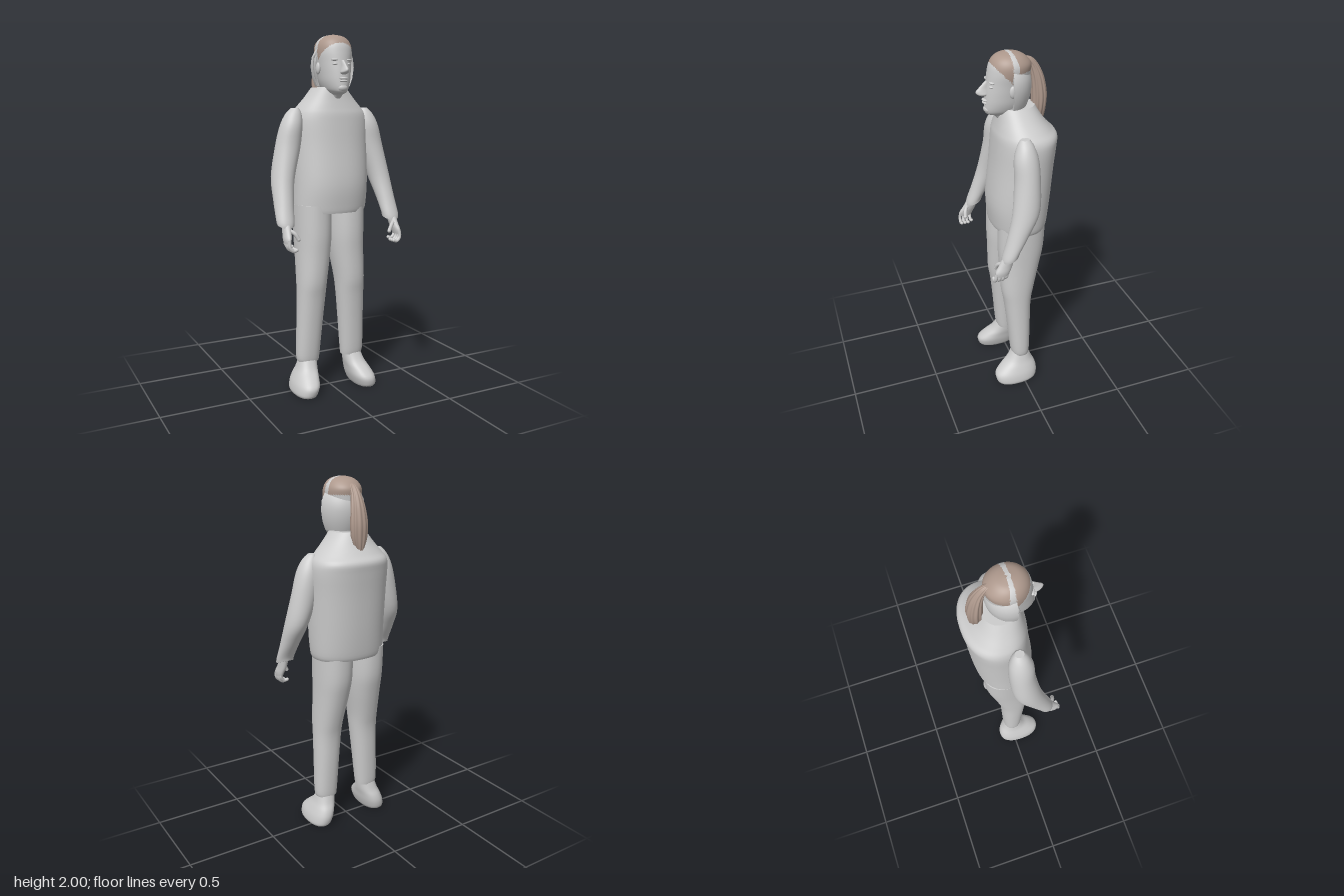
import * as THREE from 'three';

const grey = new THREE.MeshStandardMaterial({ color: 0xcccccc, side: THREE.DoubleSide });
grey.name = 'paleGrey';
const brown = new THREE.MeshStandardMaterial({ color: 0xad988c, side: THREE.DoubleSide });
brown.name = 'hairBrown';

// Smooth interpolation of one number through four neighbours
function spline(a, b, c, d, t) {
  const m0 = (c - a) / 2, m1 = (d - b) / 2, t2 = t * t, t3 = t2 * t;
  return (2 * b - 2 * c + m0 + m1) * t3 + (3 * c - 3 * b - 2 * m0 - m1) * t2 + m0 * t + b;
}

// Skin over oval rings [y, centreX, centreZ, radiusX, radiusZ, tilt], listed upwards.
// side mirrors the centres; paint(x, y, z) returns true where a face is brown.
function loft(name, rings, material, { side = 1, power = 2, ripple = 0, segs = 40, steps = 4, paint } = {}) {
  const pos = [], faces = [[], []], rows = [];
  const at = i => rings[Math.min(rings.length - 1, Math.max(0, i))];
  for (let i = 0; i < rings.length - 1; i++)
    for (let s = 0; s < steps; s++)
      rows.push(at(i).map((v, k) => spline(at(i - 1)[k], v, at(i + 1)[k], at(i + 2)[k], s / steps)));
  rows.push(rings[rings.length - 1]);
  const bend = v => Math.sign(v) * Math.pow(Math.abs(v), 2 / power);
  const addRing = ([y, cx, cz, rx, rz, tilt = 0]) => {
    for (let j = 0; j < segs; j++) {
      const a = j / segs * Math.PI * 2, r = 1 + ripple * Math.cos(a * 10);
      const dz = rz * r * bend(Math.sin(a));
      pos.push(side * cx + rx * r * bend(Math.cos(a)), y + tilt * dz, cz + dz);
    }
  };
  const addFace = (...ids) => {
    const mid = k => ids.reduce((sum, i) => sum + pos[i * 3 + k], 0) / 3;
    faces[paint && paint(mid(0), mid(1), mid(2)) ? 1 : 0].push(...ids);
  };
  rows.forEach(addRing);
  for (let i = 0; i < rows.length - 1; i++)
    for (let j = 0; j < segs; j++) {
      const a = i * segs + j, b = i * segs + (j + 1) % segs;
      addFace(a, a + segs, b);
      addFace(b, a + segs, b + segs);
    }
  // End caps with their own vertices keep the rims sharp
  [rows[0], rows[rows.length - 1]].forEach((row, top) => {
    const start = pos.length / 3;
    addRing(row);
    pos.push(side * row[1], row[0], row[2]);
    for (let j = 0; j < segs; j++) {
      const a = start + j, b = start + (j + 1) % segs;
      if (top) addFace(a, start + segs, b); else addFace(a, b, start + segs);
    }
  });
  const g = new THREE.BufferGeometry();
  g.setAttribute('position', new THREE.Float32BufferAttribute(pos, 3));
  g.setIndex([...faces[0], ...faces[1]]);
  if (paint) {
    g.addGroup(0, faces[0].length, 0);
    g.addGroup(faces[0].length, faces[1].length, 1);
  }
  g.computeVertexNormals();
  const mesh = new THREE.Mesh(g, material);
  mesh.name = name;
  return mesh;
}

function blob(name, x, y, z, rx, ry, rz) {
  const mesh = new THREE.Mesh(new THREE.SphereGeometry(1, 20, 14), grey);
  mesh.name = name;
  mesh.position.set(x, y, z);
  mesh.scale.set(rx, ry, rz);
  return mesh;
}

// Bent finger with a rounded tip
function finger(name, points, radius, side) {
  const path = points.map(([x, y, z]) => new THREE.Vector3(side * x, y, z));
  const group = new THREE.Group();
  group.name = name;
  const tube = new THREE.Mesh(new THREE.TubeGeometry(new THREE.CatmullRomCurve3(path), 10, radius, 8), grey);
  tube.name = name + 'Shaft';
  const tip = path[path.length - 1];
  group.add(tube, blob(name + 'Tip', tip.x, tip.y, tip.z, radius, radius, radius));
  return group;
}

function makeHead() {
  const head = new THREE.Group();
  head.name = 'head';
  // Hair cap: a fringe in front, a bare band over the crown, a patch behind
  const isHair = (x, y, z) => z > 0.03 ? y > 1.86 + (z - 0.03) * 1.05
    : z < 0.012 - 1.4 * (x - 0.01) ** 2 && y > 1.91;
  head.add(loft('skull', [
    [1.62, 0.01, -0.01, 0.06, 0.065], [1.675, 0.01, 0.015, 0.04, 0.085],
    [1.69, 0.01, 0.04, 0.047, 0.1], [1.71, 0.01, 0.042, 0.062, 0.108],
    [1.75, 0.01, 0.036, 0.077, 0.114], [1.8, 0.01, 0.03, 0.086, 0.116],
    [1.85, 0.01, 0.025, 0.093, 0.114], [1.9, 0.011, 0.02, 0.1, 0.112],
    [1.94, 0.012, 0.015, 0.098, 0.108], [1.97, 0.012, 0.018, 0.082, 0.088],
    [1.99, 0.012, 0.02, 0.055, 0.058], [2, 0.012, 0.02, 0.015, 0.015],
  ], [grey, brown], { segs: 72, steps: 7, paint: isHair }));
  head.add(loft('nose', [
    [1.785, 0.01, 0.145, 0.01, 0.02], [1.795, 0.01, 0.153, 0.02, 0.034],
    [1.81, 0.01, 0.152, 0.016, 0.042], [1.83, 0.01, 0.145, 0.011, 0.032],
    [1.86, 0.01, 0.13, 0.009, 0.016],
  ], grey, { segs: 20 }));
  head.add(blob('upperLip', 0.01, 1.764, 0.147, 0.026, 0.007, 0.015));
  head.add(blob('lowerLip', 0.01, 1.751, 0.147, 0.023, 0.007, 0.014));
  head.add(blob('chin', 0.01, 1.715, 0.132, 0.03, 0.022, 0.023));
  for (const s of [-1, 1]) {
    head.add(blob('eye', 0.01 + s * 0.038, 1.84, 0.122, 0.015, 0.007, 0.014));
    head.add(blob('brow', 0.01 + s * 0.038, 1.862, 0.121, 0.024, 0.007, 0.014));
    head.add(blob('ear', 0.01 + s * 0.094, 1.82, 0.03, 0.012, 0.032, 0.018));
  }
  // Half shell of hair wrapped around the back of the head
  const outline = [[0.1, 1.725], [0.117, 1.77], [0.126, 1.83], [0.12, 1.88], [0.1, 1.92]];
  const inner = outline.map(([r, y]) => [r - 0.015, y]).reverse();
  const profile = [...outline, ...inner, outline[0]].map(([r, y]) => new THREE.Vector2(r, y));
  const shell = new THREE.Mesh(new THREE.LatheGeometry(profile, 36, Math.PI / 2, Math.PI), grey);
  shell.name = 'backHairShell';
  shell.position.set(0.01, 0, 0.03);
  head.add(shell);
  head.add(loft('ponytail', [
    [1.605, 0.012, -0.148, 0.006, 0.008], [1.64, 0.012, -0.143, 0.024, 0.028],
    [1.7, 0.012, -0.144, 0.042, 0.036], [1.77, 0.012, -0.144, 0.046, 0.038],
    [1.85, 0.012, -0.134, 0.038, 0.033], [1.91, 0.012, -0.115, 0.026, 0.027],
    [1.95, 0.012, -0.088, 0.018, 0.024], [1.965, 0.012, -0.072, 0.01, 0.014],
  ], brown, { segs: 60, ripple: 0.07 }));
  return head;
}

function makeArm(s) {
  const arm = new THREE.Group();
  arm.name = s > 0 ? 'leftArm' : 'rightArm';
  arm.add(loft('sleeve', [
    [1, 0.325, 0.125, 0.047, 0.046, -0.4], [1.03, 0.324, 0.117, 0.05, 0.05, -0.4],
    [1.12, 0.315, 0.075, 0.054, 0.062, -0.3], [1.24, 0.297, 0.028, 0.063, 0.073, -0.1],
    [1.4, 0.258, 0.008, 0.07, 0.068, 0], [1.51, 0.237, 0.007, 0.062, 0.064, 0],
    [1.575, 0.222, 0.006, 0.045, 0.045, 0], [1.61, 0.212, 0.005, 0.02, 0.024, 0],
  ], grey, { side: s }));
  arm.add(loft('palm', [
    [0.905, 0.338, 0.175, 0.014, 0.034], [0.93, 0.336, 0.17, 0.019, 0.041],
    [0.965, 0.33, 0.152, 0.022, 0.038], [1.02, 0.325, 0.13, 0.026, 0.028],
  ], grey, { side: s, segs: 24 }));
  for (let i = 0; i < 4; i++) {
    const z = 0.146 + i * 0.02, drop = i === 0 ? 0.01 : 0;
    arm.add(finger('finger', [[0.338, 0.925, z], [0.337, 0.888 + drop, z + 0.004],
      [0.318, 0.868 + drop, z + 0.006], [0.3, 0.872 + drop, z + 0.004]], 0.0095, s));
  }
  arm.add(finger('thumb', [[0.325, 0.975, 0.165], [0.298, 0.955, 0.185], [0.28, 0.925, 0.192]], 0.011, s));
  return arm;
}

function makeLeg(s) {
  const leg = new THREE.Group();
  leg.name = s > 0 ? 'leftLeg' : 'rightLeg';
  leg.add(loft('trouserLeg', [
    [0.175, 0.14, 0, 0.063, 0.05], [0.22, 0.141, 0.002, 0.069, 0.056],
    [0.4, 0.132, 0.007, 0.075, 0.067], [0.55, 0.124, 0.012, 0.08, 0.078],
    [0.65, 0.119, 0.01, 0.084, 0.095], [0.8, 0.107, -0.005, 0.094, 0.115],
    [0.92, 0.102, -0.015, 0.1, 0.13], [1.08, 0.102, -0.02, 0.102, 0.132],
  ], grey, { side: s, power: 2.2 }));
  leg.add(loft('shoe', [
    [0.003, 0.19, 0.04, 0.058, 0.112], [0.02, 0.188, 0.039, 0.066, 0.124],
    [0.06, 0.178, 0.037, 0.069, 0.128], [0.1, 0.166, 0.022, 0.064, 0.105],
    [0.14, 0.153, 0.008, 0.058, 0.072], [0.2, 0.142, 0, 0.05, 0.045],
  ], grey, { side: s, power: 2.3 }));
  return leg;
}

export function createModel() {
  const model = new THREE.Group();
  model.name = 'standingFigure';
  // Jacket with a tall funnel collar
  model.add(loft('jacket', [
    [1.035, 0.006, -0.02, 0.206, 0.146], [1.07, 0.01, -0.022, 0.213, 0.154],
    [1.2, 0.015, -0.025, 0.216, 0.165], [1.4, 0.018, -0.043, 0.219, 0.162],
    [1.52, 0.02, -0.054, 0.222, 0.163], [1.575, 0.02, -0.058, 0.213, 0.162],
    [1.61, 0.016, -0.046, 0.188, 0.142], [1.66, 0.01, -0.032, 0.143, 0.117],
    [1.72, 0.004, -0.02, 0.094, 0.095],
  ], grey, { power: 2.25, segs: 56 }));
  model.add(makeHead());
  for (const s of [-1, 1]) model.add(makeArm(s), makeLeg(s));
  return model;
}
